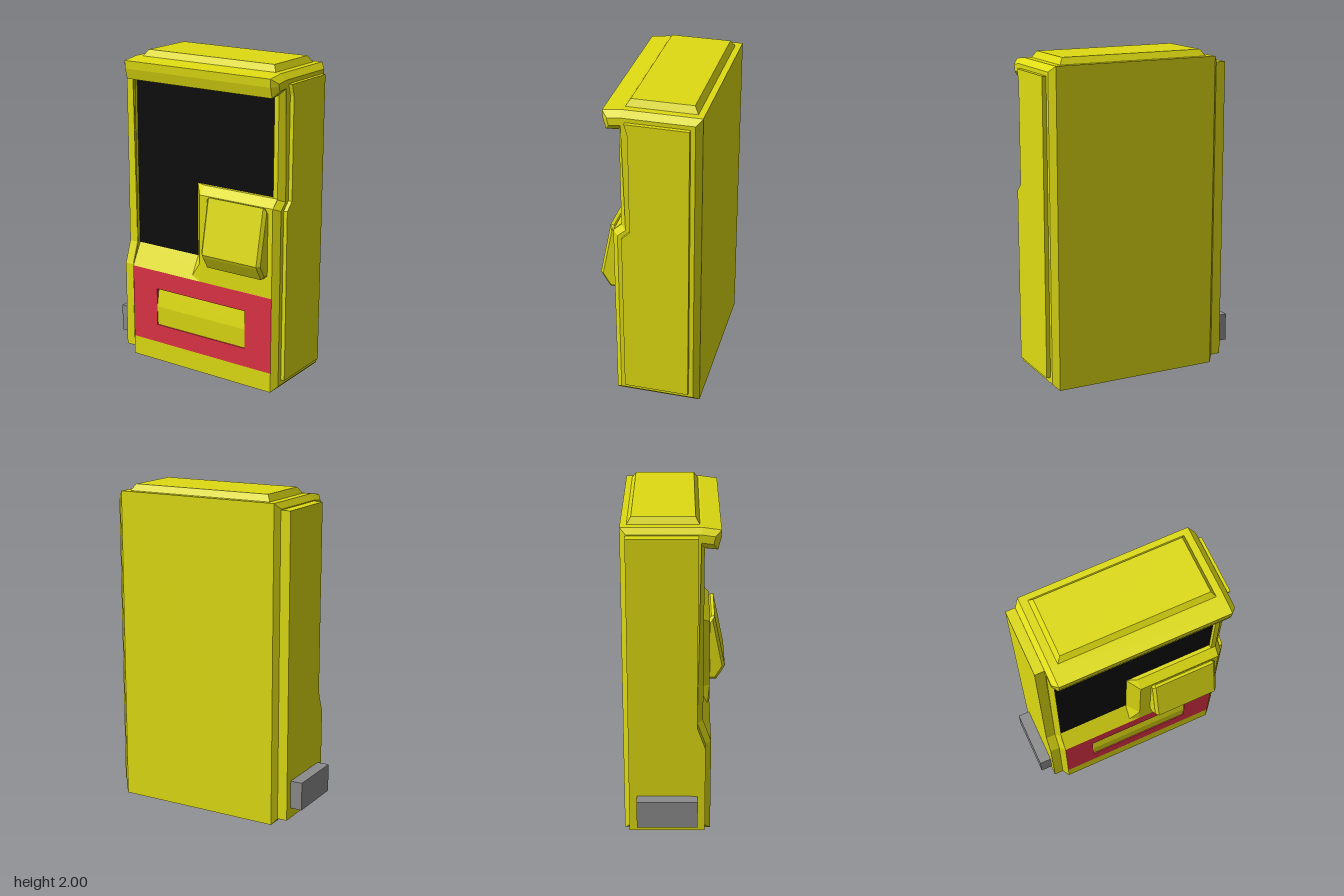
import * as THREE from 'three';

const mat = (color) => new THREE.MeshStandardMaterial({ color, flatShading: true });

function fromTriangles(points) {
  const g = new THREE.BufferGeometry();
  g.setAttribute('position', new THREE.Float32BufferAttribute(points.flat(), 3));
  g.computeVertexNormals();
  return g;
}

// Mitred inward offset of a counter-clockwise [z, y] profile
function inset(profile, d) {
  const n = profile.length;
  const normal = (a, b) => {
    const l = Math.hypot(b[0] - a[0], b[1] - a[1]);
    return [-(b[1] - a[1]) / l, (b[0] - a[0]) / l];
  };
  return profile.map((p, i) => {
    const u = normal(profile[(i + n - 1) % n], p);
    const v = normal(p, profile[(i + 1) % n]);
    const k = d / (1 + u[0] * v[0] + u[1] * v[1]);
    return [p[0] + k * (u[0] + v[0]), p[1] + k * (u[1] + v[1])];
  });
}

// Loft a [z, y] profile along x; each section is [x, inset]
function slab(profile, sections) {
  const rings = sections.map(([x, d]) => inset(profile, d).map(([z, y]) => [x, y, z]));
  const out = [];
  const n = profile.length;
  for (let s = 0; s < rings.length - 1; s++) {
    for (let i = 0; i < n; i++) {
      const j = (i + 1) % n, A = rings[s], B = rings[s + 1];
      out.push(A[i], B[i], A[j], A[j], B[i], B[j]);
    }
  }
  const first = rings[0], last = rings[rings.length - 1];
  const faces = THREE.ShapeUtils.triangulateShape(profile.map((p) => new THREE.Vector2(...p)), []);
  for (const [a, b, c] of faces) {
    out.push(first[a], first[b], first[c], last[a], last[c], last[b]);
  }
  return fromTriangles(out);
}

export function createModel() {
  const group = new THREE.Group();
  const yellow = mat(0xdedb12), red = mat(0xdd3246), black = mat(0x0c0c0c), grey = mat(0x8c8c8c);
  const add = (name, geometry, material = yellow) => {
    const mesh = new THREE.Mesh(geometry, material);
    mesh.name = name;
    group.add(mesh);
    return mesh;
  };
  const box = (name, x0, x1, y0, y1, z0, z1, material) =>
    add(name, new THREE.BoxGeometry(x1 - x0, y1 - y0, z1 - z0), material)
      .position.set((x0 + x1) / 2, (y0 + y1) / 2, (z0 + z1) / 2);

  // Cabinet: recessed centre and bevelled ends share the overhanging hood
  const base = [[-0.315, 0], [0.215, 0]];
  const hood = [[0.24, 1.83], [0.257, 1.895], [0.26, 1.945], [0.15, 1.96], [-0.315, 1.96]];
  const bevel = 0.035;
  add('cabinetCentre', slab([...base, [0.215, 0.125], [0.16, 0.125], [0.16, 0.61], [0.215, 0.61],
    [0.14, 0.75], [0.14, 1.84], ...hood], [[-0.475, 0], [0.575, 0]]));
  add('cabinetRightEnd', slab([...base, [0.215, 0.61], [0.165, 0.75], [0.165, 1.84], ...hood],
    [[-0.505, bevel], [-0.475, 0]]));
  add('cabinetLeftEnd', slab([...base, [0.215, 1.17], [0.165, 1.215], [0.165, 1.84], ...hood],
    [[0.575, 0], [0.61, bevel]]));
  box('screenPost', 0.545, 0.575, 1.2, 1.845, 0.1, 0.165, yellow);

  // Raised side panels following the stepped front
  add('rightSidePanel', slab([[-0.283, 0.035], [0.18, 0.035], [0.18, 0.6], [0.13, 0.74],
    [0.13, 1.92], [-0.283, 1.92]], [[-0.565, 0], [-0.5, 0]]));
  add('leftSidePanel', slab([[-0.253, 0.07], [0.15, 0.07], [0.15, 1.15], [0.1, 1.2],
    [0.1, 1.83], [0.12, 1.9], [-0.253, 1.9]], [[0.6, 0], [0.635, 0]]));
  box('sideBox', -0.64, -0.56, 0.1, 0.275, -0.235, 0.135, grey);

  // Large dark display
  box('screen', -0.475, 0.545, 0.75, 1.835, 0.12, 0.142, black);

  // Console block in front of the display, with a slanted flank
  add('consoleBlock', slab([[0.1, 0.61], [0.215, 0.61], [0.215, 1.17], [0.165, 1.22], [0.1, 1.22]],
    [[0.05, 0], [0.575, 0]]));
  const a = [-0.015, 1.22, 0.14], b = [-0.015, 0.75, 0.14], c = [-0.015, 0.635, 0.202];
  const d = [0.05, 0.73, 0.215], e = [0.05, 1.17, 0.215];
  const f = [-0.015, 0.61, 0.215], g = [0.05, 0.61, 0.215];
  const h = [0.05, 1.22, 0.165], k = [0.05, 1.22, 0.14];
  add('consoleFlank', fromTriangles([d, e, a, d, a, b, d, b, c, c, f, g, c, g, d, a, e, h, a, h, k]));

  // Tilted control panel with bevelled ends
  add('controlPanel', slab([[0.2, 0.735], [0.26, 0.735], [0.305, 0.81], [0.315, 0.83],
    [0.245, 1.175], [0.225, 1.17], [0.2, 1.14]],
  [[0.12, 0.018], [0.138, 0], [0.527, 0], [0.545, 0.018]]));

  // Red front band with an opening and a ridged plate inside
  const rect = (T, x0, x1, y0, y1) => new T([[x0, y0], [x1, y0], [x1, y1], [x0, y1]]
    .map((p) => new THREE.Vector2(...p)));
  const band = rect(THREE.Shape, -0.475, 0.575, 0.125, 0.61);
  band.holes.push(rect(THREE.Path, -0.285, 0.385, 0.245, 0.49));
  const bandGeometry = new THREE.ExtrudeGeometry(band, { depth: 0.055, bevelEnabled: false });
  add('frontBand', bandGeometry.translate(0, 0, 0.16), red);
  add('ridgedPlate', slab([[0.15, 0.245], [0.208, 0.245], [0.214, 0.37], [0.195, 0.49], [0.15, 0.49]],
    [[-0.285, 0], [0.385, 0]]));

  // Tapered cap on the roof
  const x0 = -0.44, x1 = 0.545, z0 = -0.29, z1 = 0.15, t = 0.037;
  const cap = new THREE.BoxGeometry(x1 - x0, 0.06, z1 - z0);
  const p = cap.attributes.position;
  for (let i = 0; i < p.count; i++) {
    if (p.getY(i) > 0) {
      p.setX(i, p.getX(i) - Math.sign(p.getX(i)) * t);
      p.setZ(i, p.getZ(i) - Math.sign(p.getZ(i)) * t);
    }
  }
  cap.computeVertexNormals();
  add('roofCap', cap).position.set((x0 + x1) / 2, 1.97, (z0 + z1) / 2);

  return group;
}
